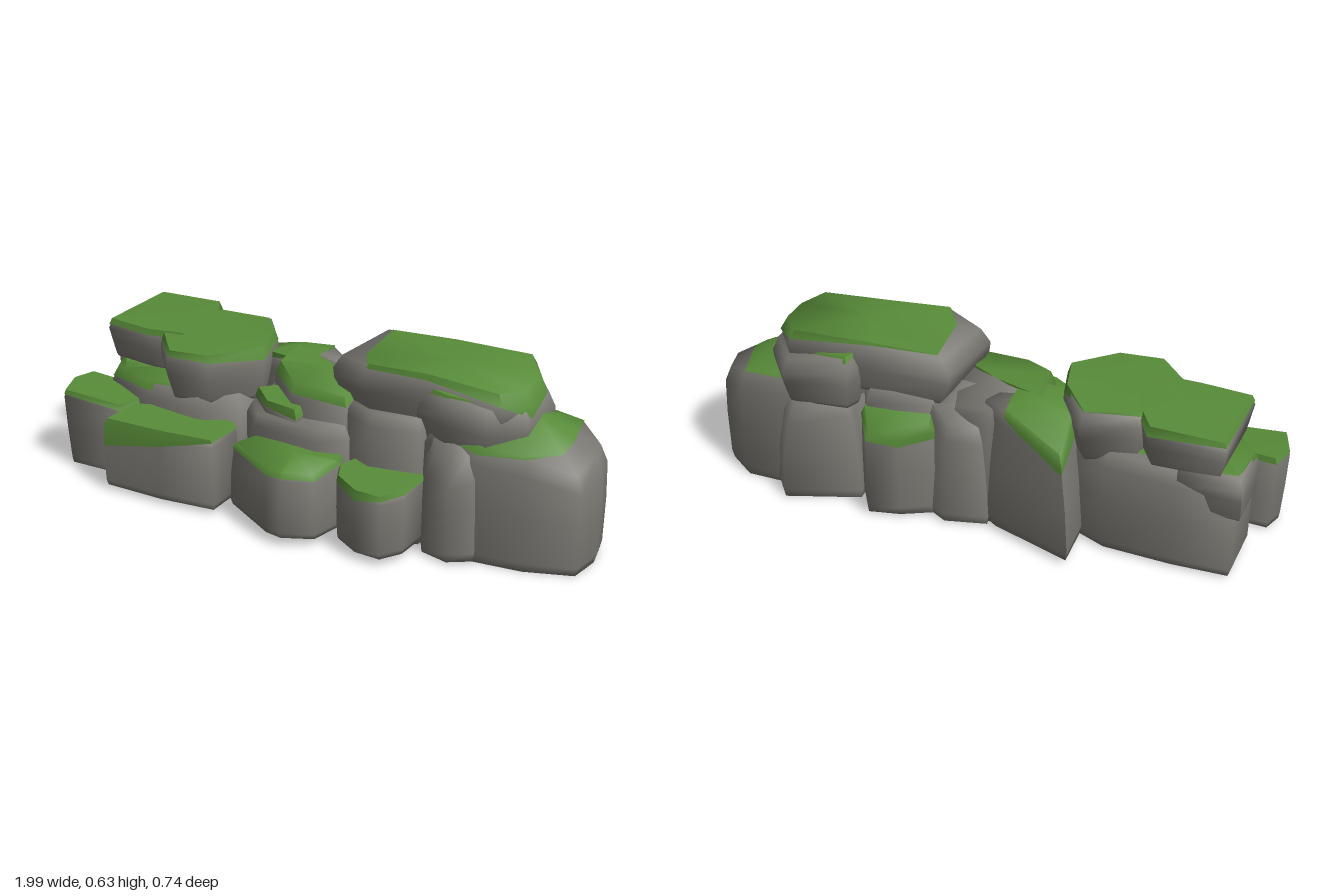
import * as THREE from 'three';
import { toCreasedNormals } from 'three/addons/utils/BufferGeometryUtils.js';

const stone = new THREE.MeshStandardMaterial({ color: 0x7b7973 });
stone.name = 'grey stone';
const moss = new THREE.MeshStandardMaterial({ color: 0x588c39, side: THREE.DoubleSide });
moss.name = 'green moss';

// Skin a stack of equal-length rings, bottom to top, with a peak and an optional flat base.
function loft(rings, top, closed, crease) {
  const pos = [];
  const tri = (a, b, c) => pos.push(...a.toArray(), ...b.toArray(), ...c.toArray());
  const n = rings[0].length, first = rings[0], last = rings[rings.length - 1];
  for (let r = 0; r < rings.length - 1; r++) {
    for (let i = 0; i < n; i++) {
      const j = (i + 1) % n, lo = rings[r], hi = rings[r + 1];
      tri(lo[i], lo[j], hi[j]);
      tri(lo[i], hi[j], hi[i]);
    }
  }
  for (let i = 0; i < n; i++) tri(last[i], last[(i + 1) % n], top);
  if (closed) for (let i = 1; i < n - 1; i++) tri(first[0], first[i + 1], first[i]);
  const g = new THREE.BufferGeometry();
  g.setAttribute('position', new THREE.Float32BufferAttribute(pos, 3));
  return toCreasedNormals(g, crease);
}

// Outline points are [x, z, top height, moss drop]. A positive drop hangs over
// the edge; a negative one pulls the moss inward by that fraction.
function rock(name, outline, { base = 0.01, bevel = 0.04, foot = 1, belly = 1.02, inset = 0.9,
  crown = 0, mossy = true } = {}) {
  const n = outline.length;
  let pts = outline, area = 0;
  pts.forEach((p, i) => { const q = pts[(i + 1) % n]; area += p[0] * q[1] - q[0] * p[1]; });
  if (area > 0) pts = [...pts].reverse();
  const mean = k => pts.reduce((s, p) => s + p[k], 0) / n;
  const cx = mean(0), cz = mean(1), cy = mean(2) + crown;
  const at = (p, s, y) => new THREE.Vector3(cx + (p[0] - cx) * s, y, cz + (p[1] - cz) * s);
  const ring = (s, f) => pts.map(p => at(p, s, f(p)));
  const group = new THREE.Group();
  group.name = name;

  const body = new THREE.Mesh(loft([
    ring(foot * 0.97, () => base),
    ring(foot, p => base + (p[2] - base) * 0.08),
    ring((foot + belly) / 2, p => base + (p[2] - base) * 0.5),
    ring(1, p => p[2] - bevel),
    ring(inset, p => p[2]),
  ], new THREE.Vector3(cx, cy, cz), true, 1.6), stone);
  body.name = name + 'Stone';
  group.add(body);

  if (mossy) {
    const lift = 0.007;
    const middle = new THREE.Vector3(cx, cy + lift, cz);
    // Point on the moss skin after travelling d down from the rim.
    const skin = (p, d) => {
      const rim = at(p, inset, p[2] + lift);
      if (d < 0) return rim.lerp(middle, Math.min(0.9, -d));
      const shoulder = at(p, 1.015, p[2] - bevel + 0.004);
      if (d <= bevel) return rim.lerp(shoulder, d / bevel);
      return at(p, 1.025, p[2] - d);
    };
    const cap = new THREE.Mesh(loft([
      pts.map(p => skin(p, p[3])),
      pts.map(p => skin(p, Math.min(p[3], bevel))),
      pts.map(p => skin(p, Math.min(p[3], 0))),
    ], middle, false, 1.1), moss);
    cap.name = name + 'Moss';
    group.add(cap);
  }
  return group;
}

export function createModel() {
  const model = new THREE.Group();
  model.name = 'mossyRockCluster';
  const add = (...a) => model.add(rock(...a));

  // Low rocks along the front
  add('frontFarRightRock', [[-1, 0.12, 0.3, 0.015], [-0.97, 0.04, 0.3, 0.02], [-0.75, 0.06, 0.3, 0.02],
    [-0.69, 0.13, 0.29, 0.02], [-0.73, 0.215, 0.285, 0.02], [-0.97, 0.22, 0.295, 0.015]],
  { foot: 0.9, bevel: 0.02, inset: 0.96 });
  add('frontRightRock', [[-0.73, 0.31, 0.275, 0.1], [-0.69, 0.18, 0.29, 0.03], [-0.5, 0.1, 0.29, 0.02],
    [-0.29, 0.14, 0.29, 0.02], [-0.295, 0.29, 0.28, 0.01], [-0.5, 0.312, 0.28, 0.055]],
  { base: 0.02, bevel: 0.025, inset: 0.96, foot: 1.02 });
  add('frontMiddleRock', [[-0.24, 0.24, 0.27, 0.02], [-0.18, 0.12, 0.28, 0.02], [0.0, 0.08, 0.28, 0.02],
    [0.14, 0.13, 0.28, 0.02], [0.15, 0.2, 0.275, 0.015], [0.12, 0.32, 0.265, 0.02],
    [0.02, 0.365, 0.265, 0.015], [-0.04, 0.355, 0.265, 0.02]],
  { base: 0.035, bevel: 0.02, inset: 0.95, foot: 1.07, belly: 1.04, crown: 0.01 });
  add('frontLeftRock', [[0.15, 0.2, 0.265, 0.02], [0.2, 0.1, 0.275, 0.02], [0.44, 0.13, 0.27, 0.02],
    [0.43, 0.26, 0.26, 0.015], [0.38, 0.335, 0.255, 0.015], [0.28, 0.33, 0.255, 0.03], [0.18, 0.27, 0.26, 0.02]],
  { base: 0.03, bevel: 0.025, inset: 0.94, foot: 0.98 });

  // Tall body rocks
  add('bigLeftRock', [[0.43, 0.12, 0.45, 0.02], [0.62, 0.15, 0.42, 0.03], [0.8, 0.13, 0.41, 0.01],
    [0.97, 0.07, 0.36, -0.3], [0.99, -0.05, 0.385, -0.33], [0.97, -0.15, 0.39, -0.33],
    [0.87, -0.23, 0.42, 0], [0.6, -0.24, 0.45, 0.02], [0.43, -0.18, 0.46, 0.02]],
  { base: 0, bevel: 0.06, foot: 1, belly: 1.03, inset: 0.9, crown: 0.09 });
  add('leftButtress', [[0.4, 0.06, 0.44, 0], [0.46, 0.18, 0.37, 0], [0.56, 0.205, 0.36, 0],
    [0.63, 0.16, 0.38, 0], [0.64, 0, 0.45, 0]], { mossy: false, bevel: 0.08, inset: 0.7, foot: 1.06, crown: 0.02 });
  add('middleLeftRock', [[0.13, 0.12, 0.46, 0], [0.25, 0.17, 0.46, 0], [0.42, 0.14, 0.46, 0],
    [0.46, -0.1, 0.47, 0], [0.4, -0.22, 0.44, 0], [0.16, -0.2, 0.46, 0]], { mossy: false, bevel: 0.04, foot: 1.06 });
  // Ridge of moss running diagonally, stone bare towards the back
  add('middleRock', [[-0.2, 0.02, 0.5, 0.04], [-0.08, 0.12, 0.47, 0.03], [0.14, 0.13, 0.47, 0.03],
    [0.16, 0.02, 0.49, 0.02], [0.1, -0.2, 0.43, -0.85], [-0.04, -0.22, 0.45, -0.8],
    [-0.22, -0.16, 0.5, 0.03]], { bevel: 0.045, crown: 0.025, foot: 1.08 });
  add('middleLedge', [[-0.25, 0.07, 0.41, 0.03], [-0.17, 0.14, 0.4, 0.02], [-0.04, 0.16, 0.4, 0.03],
    [-0.02, 0.07, 0.41, 0.02], [-0.15, 0.0, 0.42, 0.02]], { base: 0.34, bevel: 0.025 });
  add('middleFoot', [[-0.27, 0.1, 0.37, 0], [-0.2, 0.17, 0.36, 0], [0.05, 0.19, 0.36, 0],
    [0.16, 0.15, 0.38, 0], [0.1, -0.1, 0.4, 0], [-0.25, -0.1, 0.4, 0]], { mossy: false });
  add('rightBodyRock', [[-0.91, -0.05, 0.36, 0.03], [-0.86, 0.07, 0.36, 0.04], [-0.65, 0.16, 0.37, 0.03],
    [-0.42, 0.18, 0.37, -0.2], [-0.28, 0.12, 0.38, -0.3], [-0.26, -0.15, 0.4, -0.3],
    [-0.45, -0.24, 0.39, -0.2], [-0.7, -0.26, 0.38, -0.1], [-0.9, -0.26, 0.36, 0.03]],
  { bevel: 0.05, crown: 0.01, foot: 1 });

  // Back rocks
  add('backWedgeRock', [[-0.33, -0.325, 0.4, 0.11], [-0.1, -0.24, 0.48, 0.03], [0.0, -0.17, 0.47, -0.5],
    [-0.1, -0.03, 0.49, 0], [-0.28, -0.05, 0.49, 0.02], [-0.33, -0.17, 0.47, 0.05]],
  { base: 0.02, bevel: 0.05, foot: 1.27, belly: 1.06, inset: 0.92, crown: 0.035 });
  add('backMiddleRock', [[-0.02, -0.23, 0.38, 0], [0.1, -0.255, 0.39, 0], [0.19, -0.2, 0.43, 0],
    [0.16, -0.06, 0.47, 0], [0.0, -0.08, 0.47, 0]], { mossy: false, foot: 1.25, inset: 0.85, bevel: 0.06 });
  add('backMossRock', [[0.15, -0.24, 0.37, 0.05], [0.26, -0.29, 0.35, 0.06], [0.37, -0.31, 0.33, 0.03],
    [0.42, -0.22, 0.38, 0.03], [0.38, -0.1, 0.42, 0], [0.18, -0.1, 0.42, 0.02]], { bevel: 0.03, foot: 1.02 });
  add('backLeftRock', [[0.46, -0.22, 0.4, 0], [0.67, -0.285, 0.36, 0], [0.73, -0.2, 0.42, 0],
    [0.65, -0.08, 0.44, 0], [0.46, -0.1, 0.44, 0]], { mossy: false, base: 0, foot: 1.25, belly: 1.06, inset: 0.8, bevel: 0.07 });

  // Upper boulders
  add('upperLeftBoulder', [[0.05, 0.06, 0.6, -0.22], [0.1, -0.21, 0.61, -0.07], [0.38, -0.21, 0.62, 0.01],
    [0.68, -0.22, 0.62, 0.03], [0.76, -0.1, 0.6, 0.05], [0.76, 0.02, 0.59, 0.08],
    [0.7, 0.11, 0.6, 0.04], [0.42, 0.11, 0.615, 0.02], [0.2, 0.135, 0.615, 0.015]],
  { base: 0.43, bevel: 0.05, foot: 0.9, belly: 1.08, inset: 0.92, crown: 0.016 });
  add('upperLeftLowerBoulder', [[0.37, 0.1, 0.57, 0.02], [0.5, 0.145, 0.57, 0.01], [0.66, 0.14, 0.55, -0.15],
    [0.77, 0.05, 0.54, -0.1], [0.78, -0.14, 0.54, -0.1], [0.68, -0.28, 0.54, -0.25],
    [0.45, -0.26, 0.57, 0.02], [0.38, -0.1, 0.6, 0]],
  { base: 0.37, bevel: 0.05, foot: 0.9, belly: 1.07 });
  add('upperFarRightSlab', [[-0.88, 0.05, 0.53, 0.02], [-0.86, -0.27, 0.53, 0.015], [-0.6, -0.27, 0.54, 0.03],
    [-0.5, -0.1, 0.54, 0.02], [-0.55, 0.06, 0.54, 0.02], [-0.7, 0.07, 0.53, 0.02]],
  { base: 0.39, bevel: 0.03, foot: 0.9, inset: 0.95, crown: 0.005 });
  add('upperRightSlab', [[-0.66, 0.05, 0.53, 0.025], [-0.56, -0.21, 0.54, 0.01], [-0.37, -0.26, 0.53, -0.05],
    [-0.27, -0.12, 0.545, 0.03], [-0.24, 0.03, 0.54, 0.04], [-0.38, 0.17, 0.53, 0.025],
    [-0.54, 0.19, 0.525, 0.02]], { base: 0.35, bevel: 0.04, foot: 0.9, belly: 1.07, inset: 0.94, crown: 0.01 });
  add('rightLedge', [[-0.93, -0.08, 0.4, 0.02], [-0.92, -0.27, 0.4, -0.1], [-0.7, -0.25, 0.41, 0.02],
    [-0.66, 0.02, 0.39, 0.03], [-0.8, 0.08, 0.38, 0.04]], { base: 0.25, bevel: 0.03 });
  return model;
}
